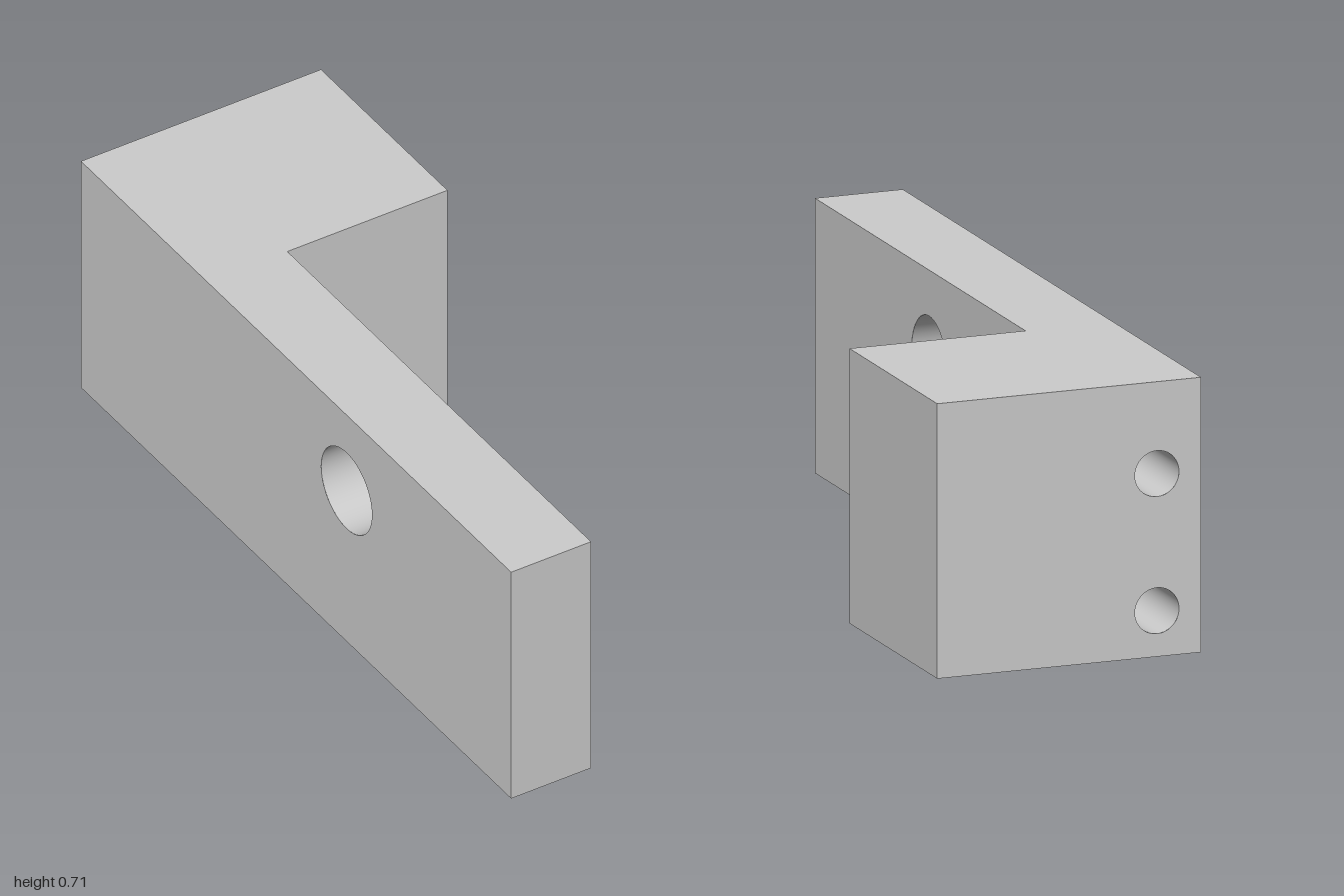
import * as THREE from 'three';

const W = 0.353, H = 0.706;          // half width, height
const ARM_X = -0.118, STEP_Z = -0.412; // inner face of the arm, front of the block
const SEG = 48;

const grey = new THREE.MeshStandardMaterial({ color: 0xcccccc });
const boreGrey = new THREE.MeshStandardMaterial({ color: 0xcccccc, side: THREE.BackSide });

export function createModel() {
  const model = new THREE.Group();
  model.name = 'bracket';

  const add = (name, geometry, material = grey) => {
    const mesh = new THREE.Mesh(geometry, material);
    mesh.name = name;
    model.add(mesh);
    return mesh;
  };

  // Through bore in the arm, and two blind holes in the back
  const bore = { y: 0.47, z: 0.235, r: 0.118 };
  const pins = [0.118, 0.47].map((y) => ({ x: -0.235, y, r: 0.059, depth: 0.47 }));

  // L-shaped outline as [x, z], each corner starting the wall named beside it;
  // holes are [distance along the wall, height, radius]
  const walls = [
    { name: 'armFront', at: [-W, 1] },
    { name: 'armInnerSide', at: [ARM_X, 1], holes: [[1 - bore.z, bore.y, bore.r]] },
    { name: 'blockFront', at: [ARM_X, STEP_Z] },
    { name: 'blockSide', at: [W, STEP_Z] },
    { name: 'blockBack', at: [W, -1], holes: pins.map((p) => [W - p.x, p.y, p.r]) },
    { name: 'armOuterSide', at: [-W, -1], holes: [[bore.z + 1, bore.y, bore.r]] },
  ];

  // Upright walls
  walls.forEach(({ name, at: [x, z], holes = [] }, i) => {
    const [nx, nz] = walls[(i + 1) % walls.length].at;
    const length = Math.hypot(nx - x, nz - z);
    const shape = new THREE.Shape([[0, 0], [length, 0], [length, H], [0, H]]
      .map(([u, v]) => new THREE.Vector2(u, v)));
    for (const [u, v, r] of holes) {
      shape.holes.push(new THREE.Path().absarc(u, v, r, 0, Math.PI * 2, true));
    }
    const wall = add(name, new THREE.ShapeGeometry(shape, SEG));
    wall.position.set(x, 0, z);
    wall.rotation.y = Math.atan2(z - nz, nx - x);
  });

  // Top and bottom
  const outline = (sign) => new THREE.ShapeGeometry(
    new THREE.Shape(walls.map(({ at: [x, z] }) => new THREE.Vector2(x, sign * z))));
  add('top', outline(-1).rotateX(-Math.PI / 2)).position.y = H;
  add('bottom', outline(1).rotateX(Math.PI / 2));

  // Wall of the through bore
  const tube = (r, length) => new THREE.CylinderGeometry(r, r, length, SEG, 1, true);
  add('armBore', tube(bore.r, ARM_X + W).rotateZ(Math.PI / 2), boreGrey)
    .position.set((ARM_X - W) / 2, bore.y, bore.z);

  // Walls and floors of the blind holes
  for (const { x, y, r, depth } of pins) {
    add('pinHole', tube(r, depth).rotateX(Math.PI / 2), boreGrey)
      .position.set(x, y, -1 + depth / 2);
    add('pinHoleFloor', new THREE.CircleGeometry(r, SEG).rotateY(Math.PI))
      .position.set(x, y, -1 + depth);
  }
  return model;
}
